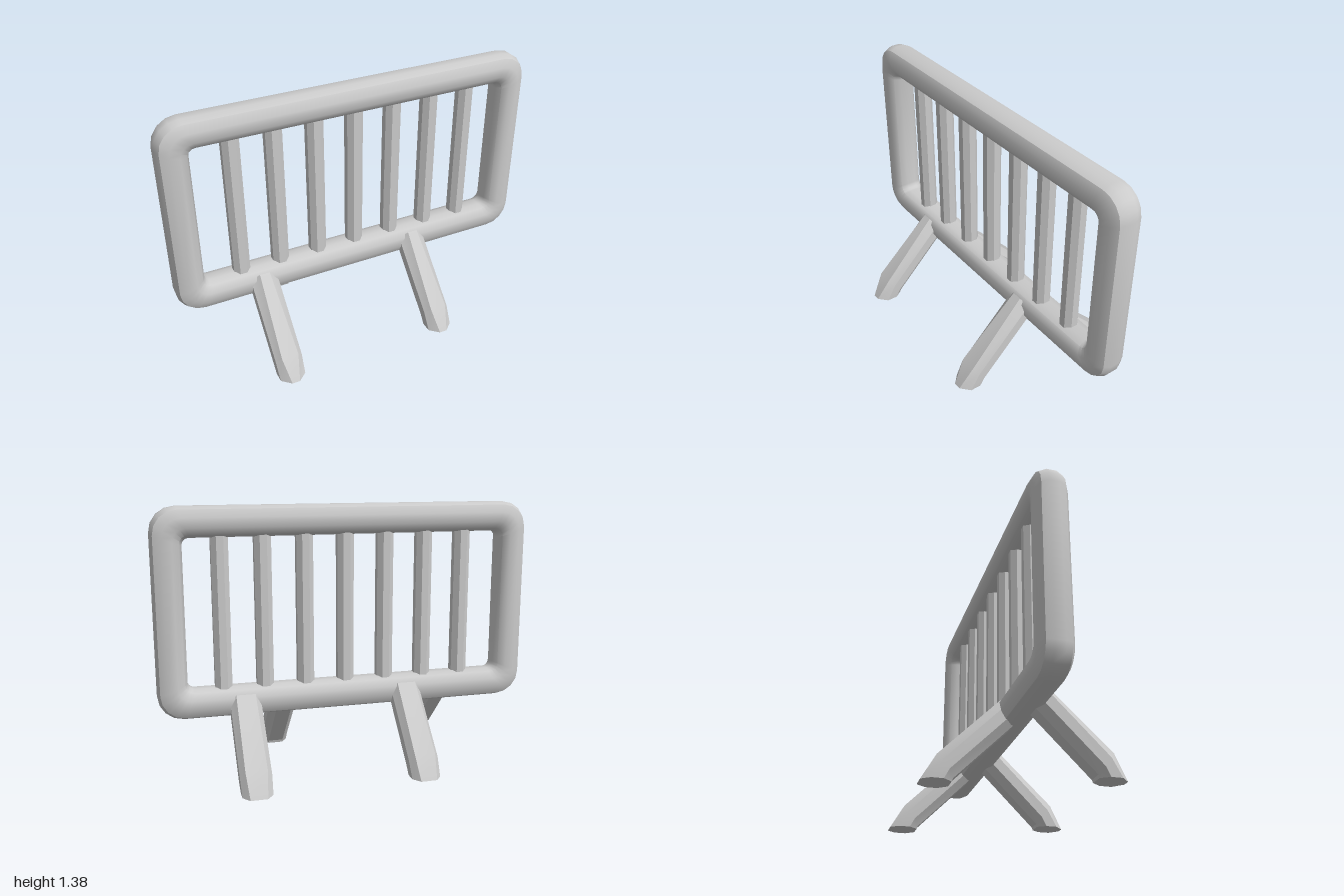
import * as THREE from 'three';
import { toCreasedNormals } from 'three/addons/utils/BufferGeometryUtils.js';

const MID_Z = -0.008;

// Skins equal-sized rings of [x, y, z]; either joins last ring to first or caps the ends.
function loft(rings, loop, crease) {
  const n = rings[0].length, m = rings.length, index = [];
  for (let i = 0; i < (loop ? m : m - 1); i++) {
    for (let j = 0; j < n; j++) {
      const k = (j + 1) % n, next = (i + 1) % m;
      const a = i * n + j, b = i * n + k, c = next * n + k, d = next * n + j;
      index.push(a, b, c, a, c, d);
    }
  }
  if (!loop) {
    const e = (m - 1) * n;
    for (let j = 1; j < n - 1; j++) index.push(e, e + j, e + j + 1, 0, j + 1, j);
  }
  const g = new THREE.BufferGeometry();
  g.setAttribute('position', new THREE.Float32BufferAttribute(rings.flat(2), 3));
  g.setIndex(index);
  return toCreasedNormals(g, crease);
}

// Rounded rectangular rail; profile is [distance out from the opening, depth].
function frameGeometry() {
  const half = [[0.155, 0.025], [0.14, 0.06], [0.1, 0.083], [0.05, 0.083], [0.015, 0.06], [0, 0.025]];
  const profile = [...half, ...half.map(([d, v]) => [d, -v]).reverse()];
  const rings = [];
  for (let q = 0; q < 4; q++) {
    const sx = q === 0 || q === 3 ? 1 : -1, sy = q < 2 ? 1 : -1;
    for (let k = 0; k <= 4; k++) {
      const a = (q + k / 4) * Math.PI / 2;
      rings.push(profile.map(([d, v]) => {
        const r = 0.035 + d * 0.62;
        return [
          sx * (0.845 + d - r) + r * Math.cos(a),
          0.84 + sy * (0.385 + d - r) + r * Math.sin(a),
          MID_Z - v,
        ];
      }));
    }
  }
  return loft(rings, true, 0.6);
}

// Faceted 45 degree leg with a bent toe, cut flat at the ground.
// w: half width, tops: half widths of the upper face at root, knee and ground.
function legGeometry(w, tops, rootZ) {
  const profile = (t) => [[0.04, 0], [w, 0.3], [w, 0.7], [t, 1], [-t, 1], [-w, 0.7], [-w, 0.3], [-0.04, 0]];
  const sum = (u) => 0.32 + 0.185 * u;
  const root = profile(tops[0]).map(([x, u]) => [x, sum(u) - rootZ * u, rootZ * u]);
  const knee = profile(tops[1]).map(([x, u]) => {
    const y = 0.015 + 0.105 * u;
    return [x, y, sum(u) - y];
  });
  const ground = profile(tops[2]).map(([x, u]) => [x * 0.95, 0, 0.31 + 0.145 * u]);
  return loft([root, knee, ground], false, 0.4);
}

export function createModel() {
  const group = new THREE.Group();
  const material = new THREE.MeshStandardMaterial({ color: 0xcccccc });
  const add = (name, geometry, x = 0, y = 0, z = 0) => {
    const mesh = new THREE.Mesh(geometry, material);
    mesh.name = name;
    mesh.position.set(x, y, z);
    group.add(mesh);
    return mesh;
  };

  add('frame', frameGeometry());

  // Seven upright octagonal bars
  const barGeometry = toCreasedNormals(
    new THREE.CylinderGeometry(0.0475, 0.0475, 0.82, 8).rotateY(Math.PI / 8), 0.4);
  for (let i = -3; i <= 3; i++) add('bar', barGeometry, 0.01 + i * 0.217, 0.84, MID_Z);

  // Staggered legs: slim ones to the front, broader ones to the back
  const frontLeg = legGeometry(0.072, [0.027, 0.045, 0.022], 0.07);
  const backLeg = legGeometry(0.08, [0.05, 0.055, 0.045], 0.085);
  for (const x of [-0.54, 0.34]) add('frontLeg', frontLeg, x);
  for (const x of [-0.315, 0.557]) add('backLeg', backLeg, x).rotation.y = Math.PI;

  return group;
}
